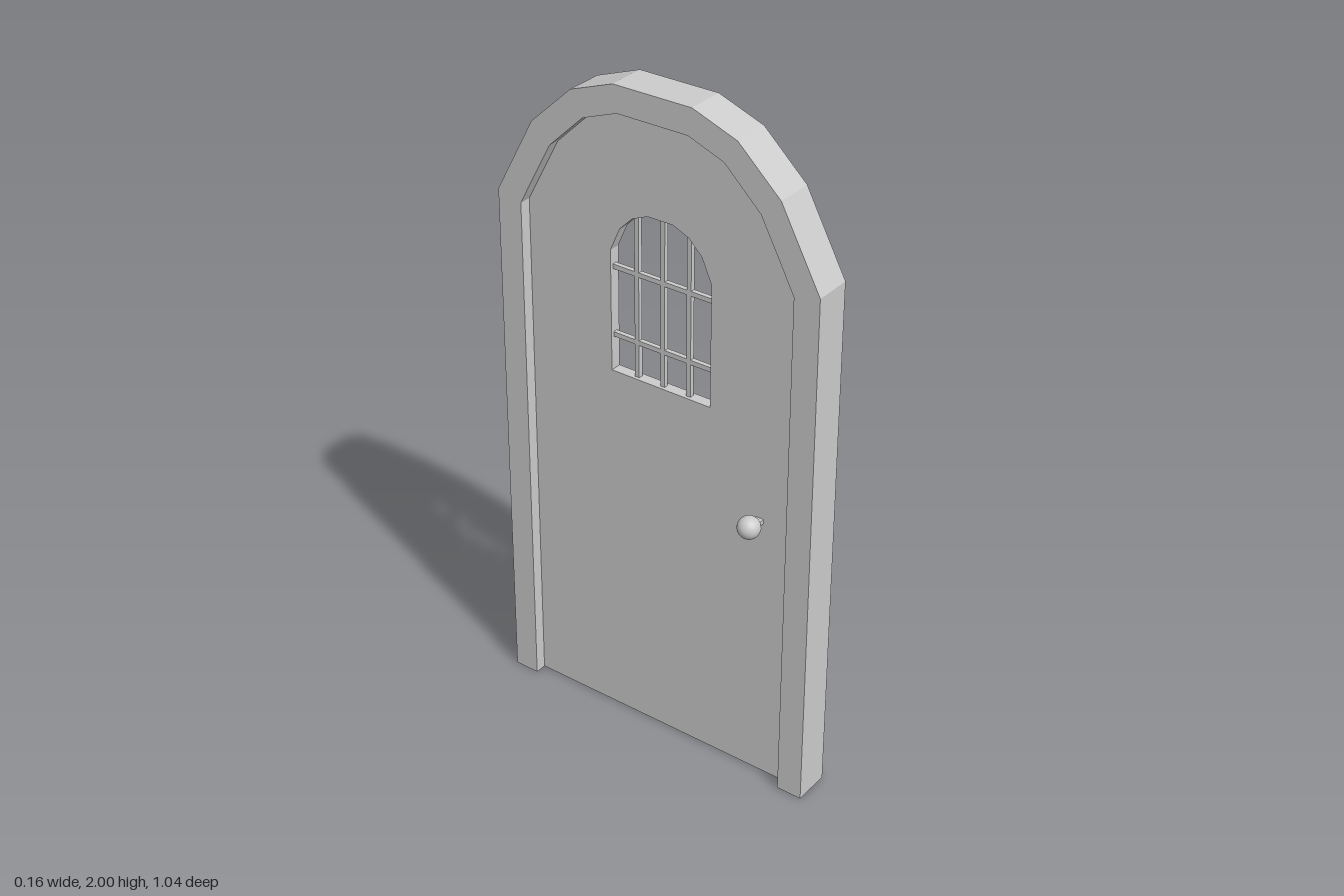
import * as THREE from 'three';

const material = new THREE.MeshStandardMaterial({ color: 0xcccccc, flatShading: true });
const smooth = new THREE.MeshStandardMaterial({ color: 0xcccccc });

// Half outlines as [z, y], from the foot up to the crown
const OUTER = [[0.518, 0], [0.513, 1.6], [0.39, 1.828], [0.259, 1.95], [0.122, 2]];
const INNER = [[0.44, 0], [0.436, 1.58], [0.332, 1.775], [0.22, 1.882], [0.11, 1.923]];
const WINDOW = [[0.163, 1.145], [0.163, 1.51], [0.132, 1.58], [0.09, 1.622], [0.04, 1.643]];

// Closed arch outline from one half
function arch(half) {
  const mirrored = half.map(([z, y]) => [-z, y]).reverse();
  return [...half, ...mirrored].map(([z, y]) => new THREE.Vector2(z, y));
}

// Extrude a z/y outline between two x positions
function slab(shape, x0, x1) {
  const geometry = new THREE.ExtrudeGeometry(shape, { depth: x1 - x0, bevelEnabled: false });
  geometry.rotateY(-Math.PI / 2);
  geometry.translate(x1, 0, 0);
  return geometry;
}

export function createModel() {
  const group = new THREE.Group();
  function add(name, geometry, x = 0, y = 0, z = 0, mat = material) {
    const mesh = new THREE.Mesh(geometry, mat);
    mesh.name = name;
    mesh.position.set(x, y, z);
    group.add(mesh);
  }

  // Arched frame, open at the foot
  const frame = new THREE.Shape([...arch(OUTER), ...arch(INNER).reverse()]);
  add('frame', slab(frame, -0.035, 0.078));

  // Door leaf with an arched window opening
  const doorX0 = 0, doorX1 = 0.034, doorX = (doorX0 + doorX1) / 2;
  const leaf = new THREE.Shape(arch(INNER));
  leaf.holes.push(new THREE.Path(arch(WINDOW)));
  add('doorLeaf', slab(leaf, doorX0, doorX1));

  // Threshold on one side of the leaf
  add('threshold', new THREE.BoxGeometry(0.078 - doorX1, 0.006, 0.88), (0.078 + doorX1) / 2, 0.003, 0);

  // Window grille
  for (const [z, top] of [[-0.085, 1.63], [0, 1.645], [0.085, 1.63]]) {
    add('verticalBar', new THREE.BoxGeometry(0.014, top - 1.14, 0.014), doorX, (top + 1.14) / 2, z);
  }
  for (const y of [1.252, 1.457]) {
    add('horizontalBar', new THREE.BoxGeometry(0.014, 0.014, 0.33), doorX, y, 0);
  }

  // Knob and the spindle that passes through the leaf
  add('knob', new THREE.SphereGeometry(0.033, 24, 16), -0.046, 0.855, 0.328, smooth);
  add('spindle', new THREE.BoxGeometry(0.088, 0.014, 0.026), -0.002, 0.854, 0.33);

  return group;
}
